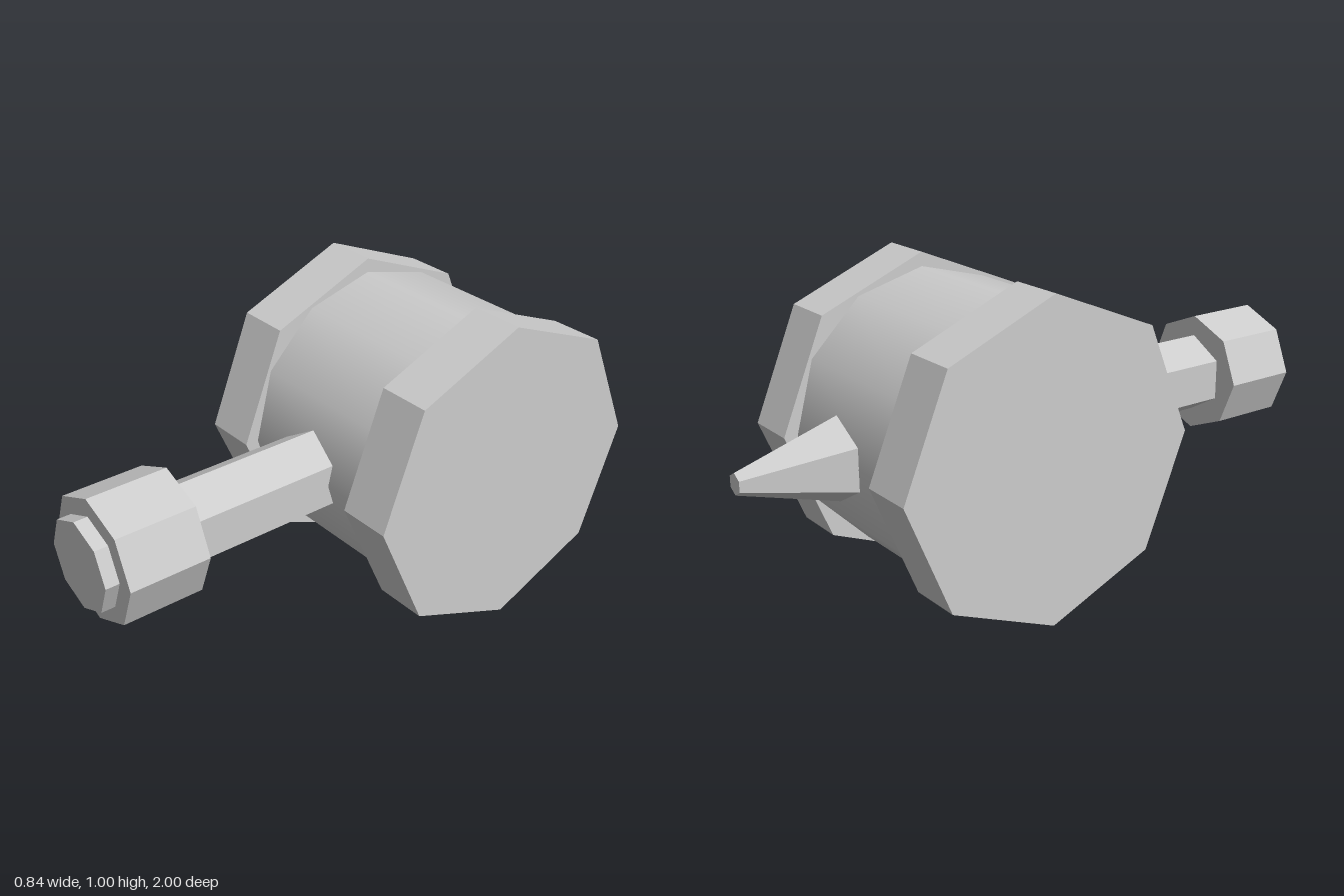
import * as THREE from 'three';

const CY = 0.498; // height of every axis
const DRUM_Z = -0.228;

const flat = new THREE.MeshStandardMaterial({ color: 0xcccccc, flatShading: true });
const smooth = new THREE.MeshStandardMaterial({ color: 0xcccccc });

// Prism along x, from x0 to x1, centred on the drum axis
function alongX(name, radius, x0, x1, sides, material) {
  const geometry = new THREE.CylinderGeometry(radius, radius, x1 - x0, sides);
  geometry.rotateZ(Math.PI / 2);
  const mesh = new THREE.Mesh(geometry, material);
  mesh.name = name;
  mesh.position.set((x0 + x1) / 2, CY, DRUM_Z);
  return mesh;
}

// Prism or taper along z, with one radius at the back (z0) and one at the front (z1)
function alongZ(name, backRadius, frontRadius, z0, z1, sides) {
  const geometry = new THREE.CylinderGeometry(frontRadius, backRadius, z1 - z0, sides);
  geometry.rotateX(Math.PI / 2);
  const mesh = new THREE.Mesh(geometry, flat);
  mesh.name = name;
  mesh.position.set(0, CY, (z0 + z1) / 2);
  return mesh;
}

export function createModel() {
  const model = new THREE.Group();
  model.name = 'drumWithHandle';

  // Smooth drum between two octagonal end plates
  model.add(alongX('drum', 0.453, -0.25, 0.25, 12, smooth));
  model.add(alongX('leftEndPlate', 0.498, 0.245, 0.42, 8, flat));
  model.add(alongX('rightEndPlate', 0.498, -0.42, -0.245, 8, flat));

  // Hexagonal handle with an octagonal knob and end cap
  model.add(alongZ('handleShaft', 0.131, 0.131, 0.1, 0.72, 6));
  model.add(alongZ('handleKnob', 0.198, 0.198, 0.703, 0.957, 8));
  model.add(alongZ('knobCap', 0.142, 0.142, 0.94, 1, 8));

  // Blunt spike on the back
  model.add(alongZ('backSpike', 0.033, 0.131, -1, -0.68, 6));

  return model;
}
